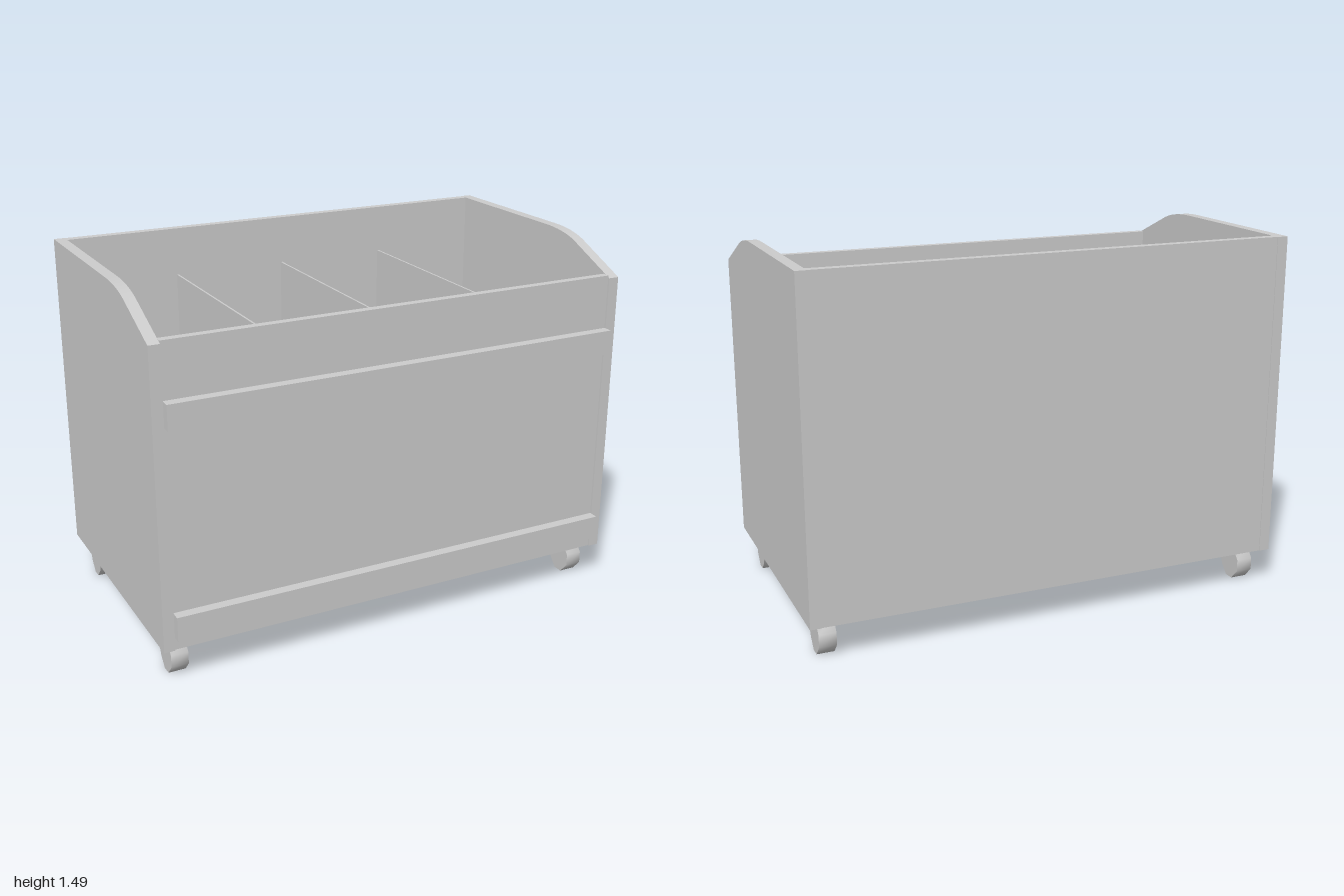
import * as THREE from 'three';
import { toCreasedNormals } from 'three/addons/utils/BufferGeometryUtils.js';

const material = new THREE.MeshStandardMaterial({ color: 0xcccccc });

export function createModel() {
  const group = new THREE.Group();

  const add = (name, geometry) => {
    const mesh = new THREE.Mesh(geometry, material);
    mesh.name = name;
    group.add(mesh);
    return mesh;
  };

  // Box given by its limits on each axis
  const box = (name, [x0, x1], [y0, y1], [z0, z1]) =>
    add(name, new THREE.BoxGeometry(x1 - x0, y1 - y0, z1 - z0))
      .position.set((x0 + x1) / 2, (y0 + y1) / 2, (z0 + z1) / 2);

  // Plate with a (z, y) outline, spanning x0 to x1
  const plate = (name, shape, x0, x1, crease) => {
    const geometry = new THREE.ExtrudeGeometry(shape, { depth: x1 - x0, bevelEnabled: false, curveSegments: 8 });
    geometry.rotateY(-Math.PI / 2).scale(1, 1, 1).translate(x1, 0, 0);
    return add(name, toCreasedNormals(geometry, crease));
  };

  // Side panels: sloped front shoulder easing into a level top
  const side = new THREE.Shape();
  side.moveTo(-0.58, 0.15);
  side.lineTo(0.545, 0.15);
  side.lineTo(0.545, 1.35);
  side.lineTo(0.3, 1.455);
  side.quadraticCurveTo(0.22, 1.485, 0.1, 1.485);
  side.lineTo(-0.58, 1.485);
  side.closePath();
  plate('rightSidePanel', side, -1, -0.955, 0.4);
  plate('leftSidePanel', side, 0.955, 1, 0.4);

  // Panels between the sides
  const inner = [-0.955, 0.955];
  box('backPanel', inner, [0.15, 1.485], [-0.577, -0.54]);
  box('frontPanel', inner, [0.15, 1.36], [0.505, 0.538]);
  box('floorPanel', inner, [0.16, 0.2], [-0.54, 0.505]);

  // Rails across the front
  box('upperRail', inner, [1.04, 1.14], [0.538, 0.58]);
  box('lowerRail', inner, [0.205, 0.305], [0.538, 0.58]);

  // Compartment dividers
  for (const x of [-0.487, 0, 0.487]) {
    box('divider', [x - 0.004, x + 0.004], [0.2, 1.285], [-0.54, 0.505]);
  }

  // Castors, mirrored front to back about the middle of the cabinet
  const castorOutline = [
    [0.34, 0.155], [0.34, 0.11], [0.374, 0.037], [0.407, 0], [0.448, 0],
    [0.488, 0.045], [0.488, 0.095], [0.447, 0.145], [0.447, 0.155],
  ];
  for (const end of [1, -1]) {
    const points = castorOutline.map(([z, y]) =>
      new THREE.Vector2(end > 0 ? z : -0.036 - z, y));
    for (const [x0, x1] of [[-0.955, -0.885], [0.885, 0.955]]) {
      plate(end > 0 ? 'frontCastor' : 'rearCastor', new THREE.Shape(points), x0, x1, 1);
    }
  }

  return group;
}
